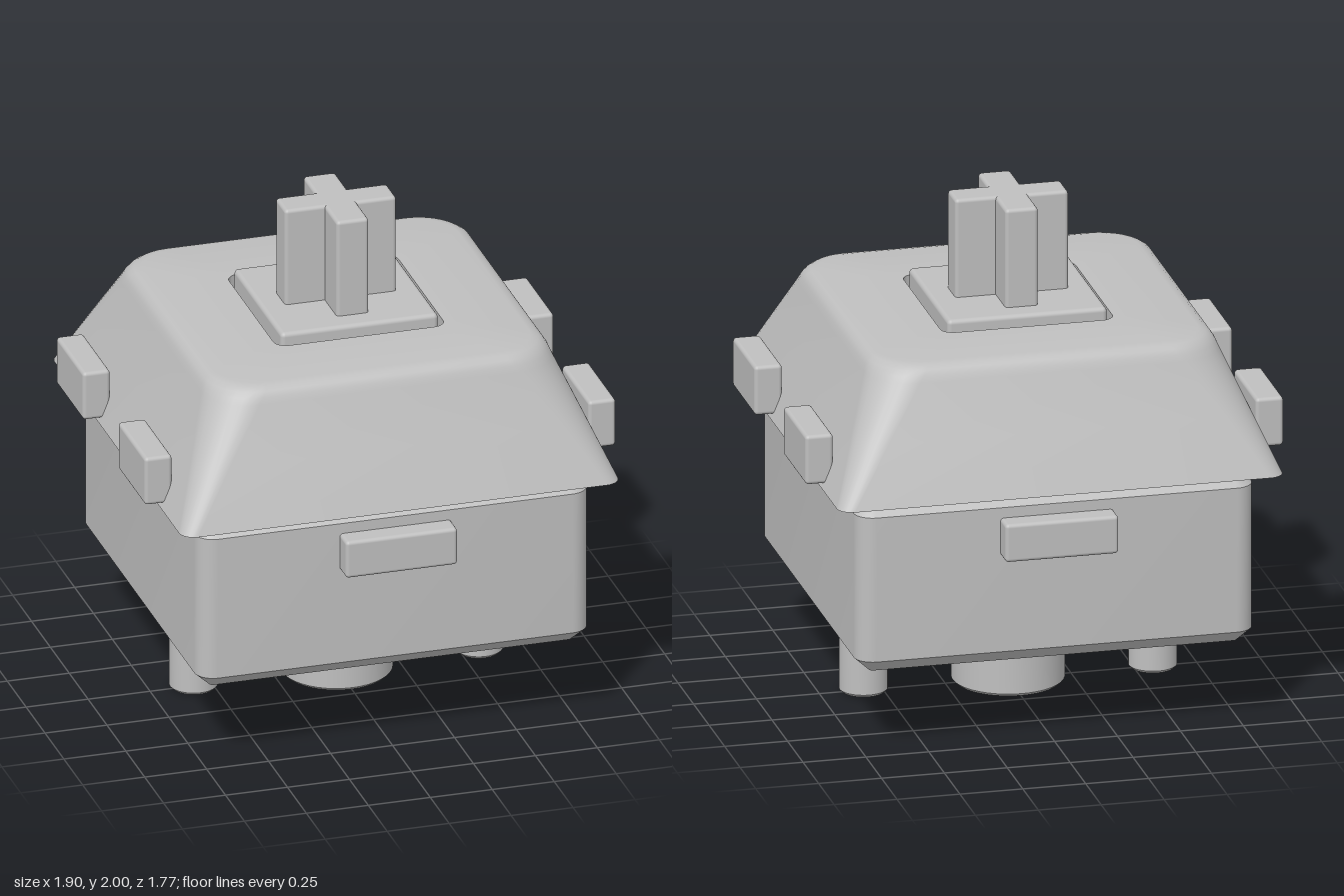
import * as THREE from 'three';
import { toCreasedNormals } from 'three/addons/utils/BufferGeometryUtils.js';
import { RoundedBoxGeometry } from 'three/addons/geometries/RoundedBoxGeometry.js';

const grey = new THREE.MeshStandardMaterial({ color: 0xbfbfbf });
grey.name = 'grey plastic';

// Points of a rounded square of half width h and corner radius r at height y
function roundedSquare(h, r, y, steps = 8) {
  const points = [];
  for (let corner = 0; corner < 4; corner++) {
    const sx = corner === 0 || corner === 3 ? 1 : -1;
    const sz = corner < 2 ? 1 : -1;
    for (let i = 0; i <= steps; i++) {
      const a = (corner + i / steps) * Math.PI / 2;
      points.push(new THREE.Vector3(sx * (h - r) + r * Math.cos(a), y, sz * (h - r) + r * Math.sin(a)));
    }
  }
  return points;
}

// Skin over a list of [half width, corner radius, height] sections
function loft(sections) {
  const rings = sections.map(([h, r, y]) => roundedSquare(h, r, y));
  const positions = [];
  const addTriangle = (a, b, c) => {
    if (a.distanceTo(b) < 1e-6 || b.distanceTo(c) < 1e-6 || c.distanceTo(a) < 1e-6) return;
    for (const p of [a, b, c]) positions.push(p.x, p.y, p.z);
  };
  for (let i = 0; i < rings.length - 1; i++) {
    const low = rings[i], high = rings[i + 1], n = low.length;
    for (let j = 0; j < n; j++) {
      const k = (j + 1) % n;
      addTriangle(low[j], high[j], low[k]);
      addTriangle(low[k], high[j], high[k]);
    }
  }
  const geometry = new THREE.BufferGeometry();
  geometry.setAttribute('position', new THREE.Float32BufferAttribute(positions, 3));
  return toCreasedNormals(geometry, 0.6);
}

// Round post with softened ends
function post(radius, height) {
  const b = 0.012;
  const profile = [[0, 0], [radius - b, 0], [radius, b], [radius, height - b], [radius - b, height], [0, height]];
  const geometry = new THREE.LatheGeometry(profile.map(([x, y]) => new THREE.Vector2(x, y)), 40);
  return toCreasedNormals(geometry, 0.6);
}

export function createModel() {
  const model = new THREE.Group();
  model.name = 'keySwitch';

  const add = (name, geometry, x = 0, y = 0, z = 0) => {
    const mesh = new THREE.Mesh(geometry, grey);
    mesh.name = name;
    mesh.position.set(x, y, z);
    model.add(mesh);
  };
  const addBox = (name, w, h, d, x, y, z, r = 0.015) =>
    add(name, new RoundedBoxGeometry(w, h, d, 3, r), x, y, z);

  // Lower housing with chamfered rims
  add('lowerHousing', loft([
    [0, 0, 0.345], [0.73, 0.015, 0.345], [0.79, 0.075, 0.4],
    [0.79, 0.075, 0.99], [0.73, 0.015, 1.045], [0, 0, 1.045],
  ]));

  // Tapered upper housing with a square opening through the middle
  add('upperHousing', loft([
    [0.41, 0.05, 1.055], [0.885, 0.06, 1.055], [0.79, 0.12, 1.285], [0.703, 0.18, 1.495],
    [0.694, 0.188, 1.52], [0.681, 0.19, 1.54], [0.662, 0.18, 1.554], [0.635, 0.165, 1.56],
    [0.342, 0.05, 1.56], [0.342, 0.05, 1.35], [0.41, 0.05, 1.35], [0.41, 0.05, 1.055],
  ]));

  // Sliding stem: block, guide rails, skirt and cross
  addBox('stemBlock', 0.635, 0.6, 0.635, 0, 1.3, 0, 0.018);
  addBox('stemRail', 0.68, 0.4, 0.13, 0, 1.3, 0, 0.01);
  addBox('stemSkirt', 0.8, 0.2, 0.6, 0, 1.1, 0, 0.01);
  addBox('crossArmWide', 0.45, 0.42, 0.13, 0, 1.79, 0);
  addBox('crossArmDeep', 0.13, 0.42, 0.45, 0, 1.79, 0);

  // Clips on the sides, tabs on front and back, locating pegs below
  for (const side of [-1, 1]) {
    for (const end of [-1, 1]) {
      addBox('sideClip', 0.11, 0.2, 0.36, side * 0.895, 1.175, end * 0.41);
    }
    addBox('latchTab', 0.45, 0.155, 0.13, 0, 0.87, side * 0.81);
    add('sidePeg', post(0.095, 0.345), side * 0.575);
  }
  add('centrePeg', post(0.22, 0.345));

  return model;
}
